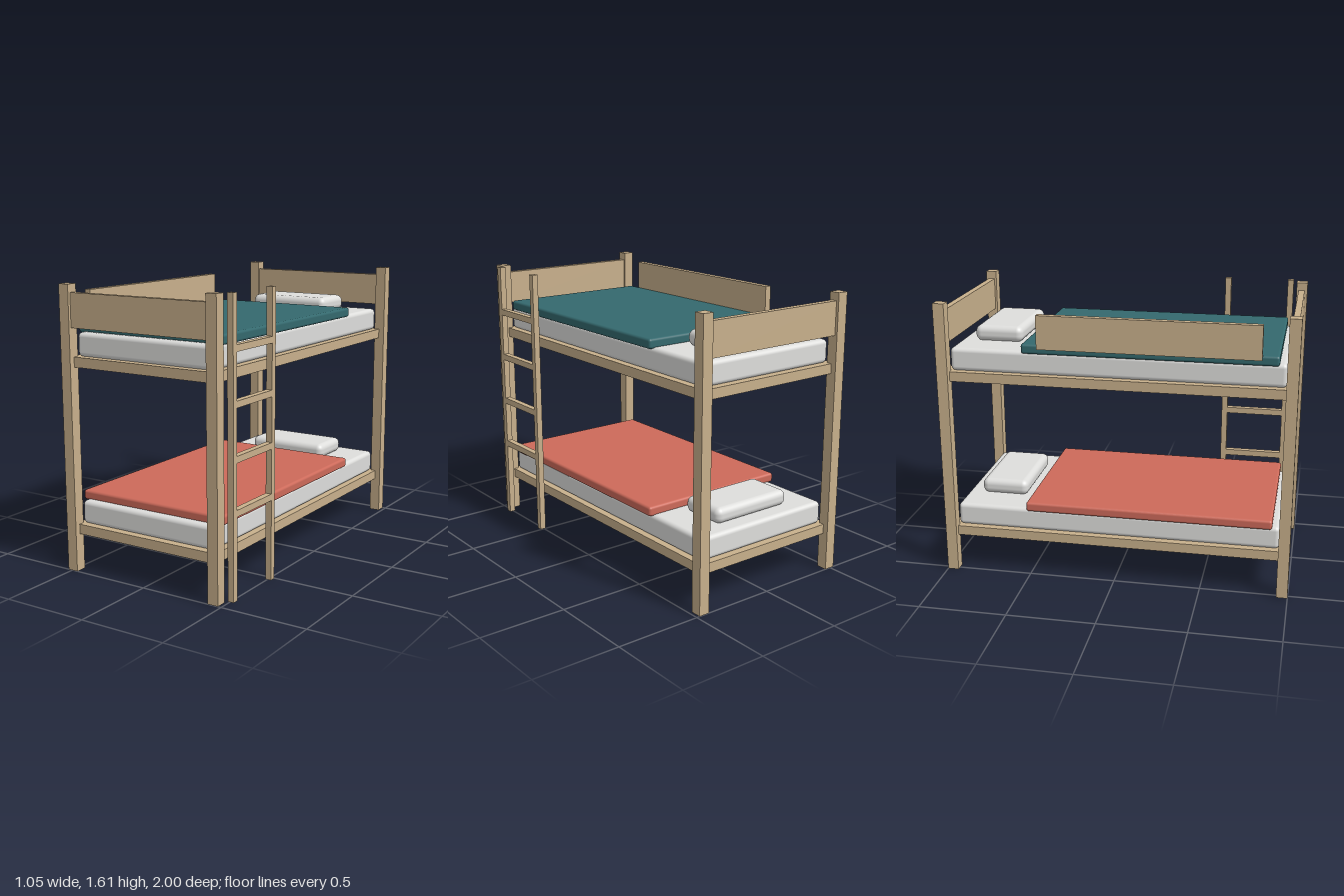
import * as THREE from 'three';
import { RoundedBoxGeometry } from 'three/addons/geometries/RoundedBoxGeometry.js';

function material(name, color) {
  const m = new THREE.MeshStandardMaterial({ color });
  m.name = name;
  return m;
}

export function createModel() {
  const group = new THREE.Group();
  const wood = material('wood', 0xc8b08c);
  const linen = material('linen', 0xdededc);
  const teal = material('tealBlanket', 0x34696e);
  const coral = material('coralBlanket', 0xcd6a5a);

  // Box given by its limits on each axis; a radius rounds its edges
  function block(name, mat, [x0, x1], [y0, y1], [z0, z1], radius = 0) {
    const size = [x1 - x0, y1 - y0, z1 - z0];
    const geometry = radius
      ? new RoundedBoxGeometry(...size, 4, radius)
      : new THREE.BoxGeometry(...size);
    const mesh = new THREE.Mesh(geometry, mat);
    mesh.name = name;
    mesh.position.set((x0 + x1) / 2, (y0 + y1) / 2, (z0 + z1) / 2);
    group.add(mesh);
  }

  const height = 1.605;

  // Corner posts, and a board across each end
  for (const [end, z] of [['front', [0.936, 1]], ['back', [-1, -0.936]]]) {
    block(end + 'RightPost', wood, [-0.527, -0.463], [0, height], z);
    block(end + 'LeftPost', wood, [0.417, 0.481], [0, height], z);
  }
  block('footboard', wood, [-0.463, 0.417], [1.37, 1.56], [0.948, 0.984]);
  block('headboard', wood, [-0.463, 0.417], [1.37, 1.56], [-0.984, -0.948]);

  // Two bunks: deck, mattress, blanket and pillow
  for (const [level, y, blanket] of [['lower', 0.212, coral], ['upper', 1.155, teal]]) {
    block(level + 'Deck', wood, [-0.493, 0.447], [y, y + 0.056], [-0.968, 0.968]);
    block(level + 'Mattress', linen, [-0.465, 0.42], [y + 0.055, y + 0.187], [-0.938, 0.938], 0.025);
    block(level + 'Blanket', blanket, [-0.489, 0.441], [y + 0.179, y + 0.235], [-0.52, 0.895], 0.015);
    block(level + 'Pillow', linen, [-0.28, 0.233], [y + 0.183, y + 0.274], [-0.85, -0.57], 0.037);
  }

  // Guard rail along the wall side of the upper bunk
  block('guardRail', wood, [-0.515, -0.477], [1.37, 1.56], [-0.423, 0.803]);

  // Ladder
  const ladderX = [0.487, 0.523];
  block('ladderFrontRail', wood, ladderX, [0, height], [0.88, 0.915]);
  block('ladderBackRail', wood, ladderX, [0, height], [0.503, 0.538]);
  for (let i = 0; i < 4; i++) {
    const y = 0.455 + i * 0.285;
    block('ladderRung' + (i + 1), wood, ladderX, [y, y + 0.036], [0.538, 0.88]);
  }

  return group;
}
